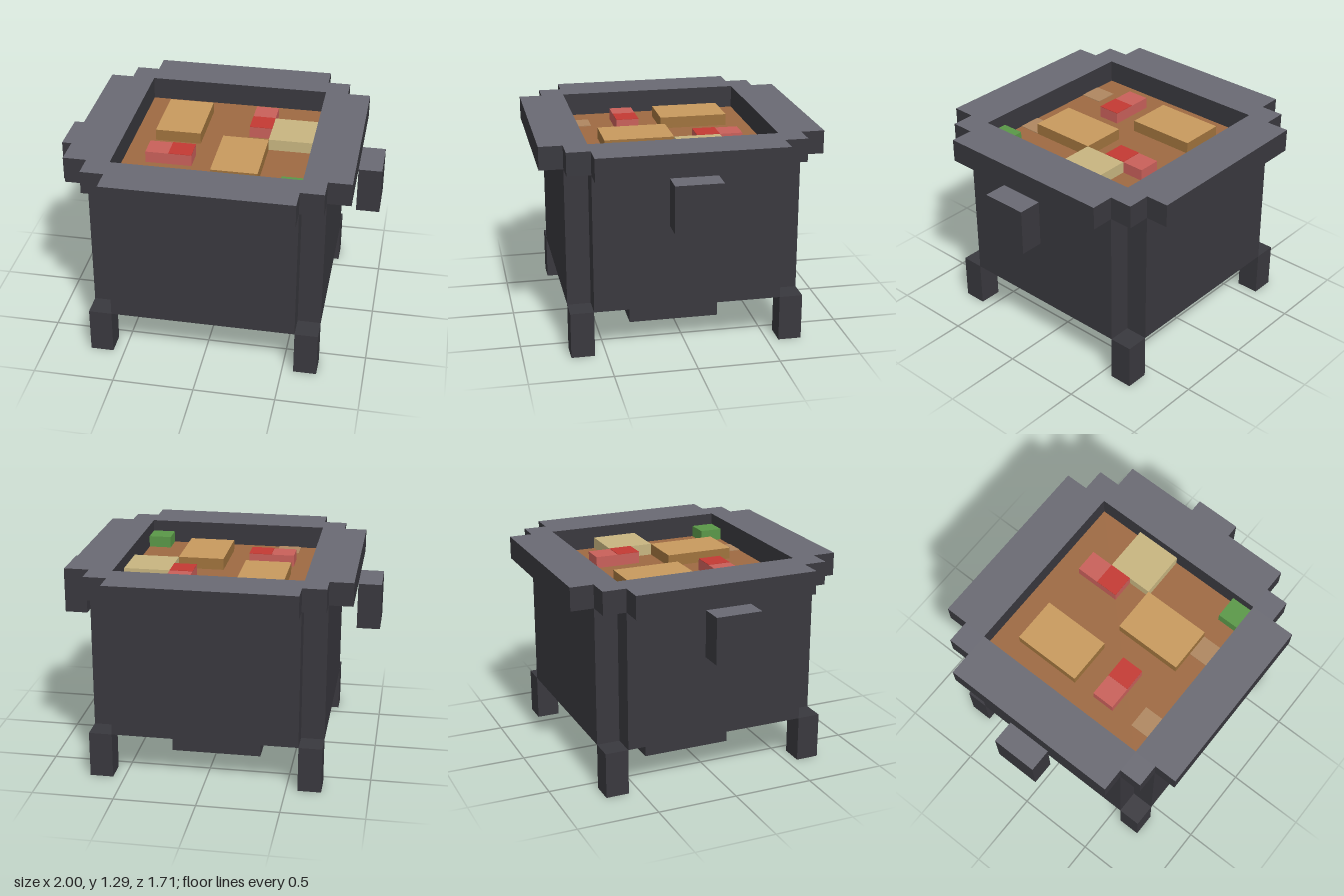
import * as THREE from 'three';

const U = 1 / 7; // one block of the modelling grid

const paint = (name, color) => {
  const m = new THREE.MeshStandardMaterial({ color });
  m.name = name;
  return m;
};

export function createModel() {
  const iron = paint('dark iron', 0x39383e);
  const worn = paint('worn grey iron', 0x6a6a73);
  const broth = paint('brown broth', 0x9e6a42);
  const bubble = paint('pale bubble', 0xaf8760);
  const bread = paint('toasted chunk', 0xc89a5e);
  const crust = paint('chunk crust', 0xa0733d);
  const pale = paint('pale chunk', 0xc8b580);
  const pink = paint('light red', 0xc9605a);
  const red = paint('deep red', 0xc43a33);
  const green = paint('leaf green', 0x5a9848);

  const model = new THREE.Group();
  model.name = 'cauldron';

  // Box from its grid limits; an optional second material covers the top face
  const block = (name, [x0, x1], [y0, y1], [z0, z1], side, top = side) => {
    const geo = new THREE.BoxGeometry((x1 - x0) * U, (y1 - y0) * U, (z1 - z0) * U);
    const mats = top === side ? side : [side, side, top, side, side, side];
    const mesh = new THREE.Mesh(geo, mats);
    mesh.name = name;
    mesh.position.set((x0 + x1) / 2 * U, (y0 + y1) / 2 * U, (z0 + z1) / 2 * U);
    model.add(mesh);
  };
  const span = (s, a, b) => (s > 0 ? [a, b] : [-b, -a]);

  // Pot floor and the raised hearth block beneath it
  block('potFloor', [-4, 4], [2, 3], [-4, 4], iron);
  block('hearthBlock', [-2, 2], [0, 1], [-2, 2], iron);

  for (const s of [-1, 1]) {
    // Walls
    block('endWall', [-4, 4], [2, 8], span(s, 4, 5), iron);
    block('sideWall', span(s, 4, 5), [2, 8], [-4, 4], iron);
    // Rim bars
    block('endRim', [-4, 4], [8, 9], span(s, 4, 6), iron, worn);
    block('sideRim', span(s, 4, 6), [8, 9], [-4, 4], iron, worn);
    // Handles hanging from the side rims
    block('handle', span(s, 6, 7), [6, 8], [-1, 1], iron, worn);
    // Legs and rim corners
    for (const t of [-1, 1]) {
      block('leg', span(s, 4, 5), [0, 2], span(t, 4, 5), iron);
      block('rimCorner', span(s, 4, 5), [8, 9], span(t, 4, 5), iron, worn);
    }
  }

  // Stew surface and bubbles
  block('broth', [-4, 4], [7, 8], [-4, 4], broth);
  for (const x of [-3, 1]) block('bubble', [x, x + 1], [8, 8.03], [3, 4], bubble);

  // Floating ingredients
  const food = [8, 8.5];
  const glaze = [8.5, 8.52];
  block('breadChunk', [-3, -1], food, [-3, 0], crust, bread);
  block('breadChunk', [0, 2], food, [0, 3], crust, bread);
  block('paleChunk', [2, 4], food, [-2, 0], pale);
  block('greenChunk', [3, 4], food, [3, 4], green);
  block('redChunk', [1, 2], food, [-3, -1], pink);
  block('redChunkTop', [1, 2], glaze, [-2, -1], red);
  block('redChunk', [-3, -1], food, [1, 2], pink);
  block('redChunkTop', [-2, -1], glaze, [1, 2], red);

  return model;
}
